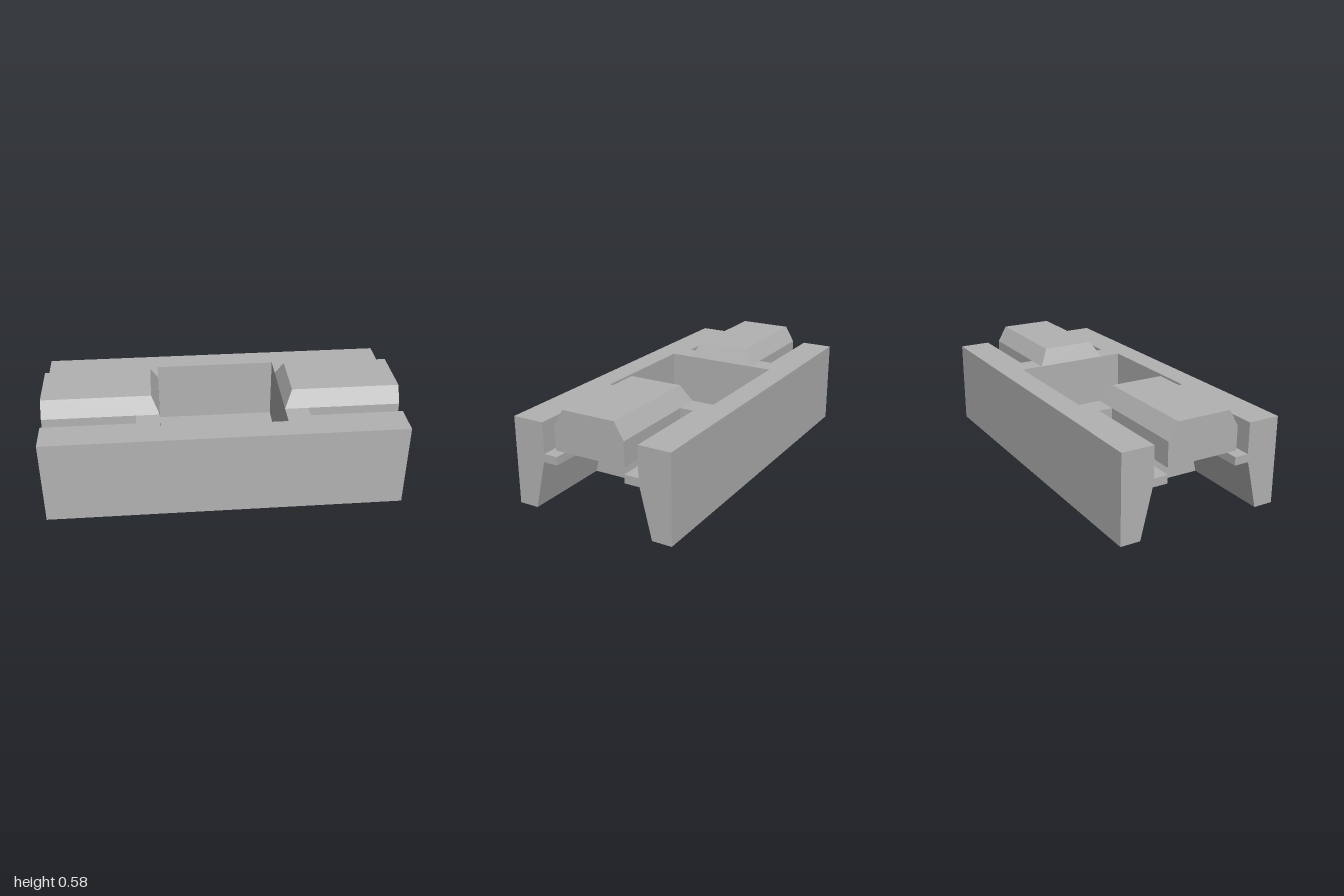
import * as THREE from 'three';
import { toCreasedNormals } from 'three/addons/utils/BufferGeometryUtils.js';
import { ConvexGeometry } from 'three/addons/geometries/ConvexGeometry.js';

const HALF_L = 1, HALF_W = 0.467, TOP = 0.49;   // overall body
const CORE_X = 0.48;                            // solid middle block
const POCKET_X = 0.35, POCKET_Z = 0.333, FLOOR = 0.13;

export function createModel() {
  const model = new THREE.Group();
  model.name = 'clampBlock';
  const grey = new THREE.MeshStandardMaterial({ color: 0xb2b2b2 });
  grey.name = 'plain grey';

  const add = (parent, name, geometry) => {
    const mesh = new THREE.Mesh(geometry, grey);
    mesh.name = name;
    parent.add(mesh);
    return mesh;
  };
  const rect = (Type, hx, hy) => new Type([[-hx, -hy], [hx, -hy], [hx, hy], [-hx, hy]]
    .map(([x, y]) => new THREE.Vector2(x, y)));

  // Horizontal slab with an opening, between two heights
  const slab = (hole, y0, y1) => {
    const shape = rect(THREE.Shape, CORE_X, HALF_W);
    shape.holes.push(hole);
    const g = new THREE.ExtrudeGeometry(shape, { depth: y1 - y0, bevelEnabled: false, curveSegments: 32 });
    g.rotateX(-Math.PI / 2).translate(0, y0, 0);
    return toCreasedNormals(g, 0.5);
  };

  // Middle block: floor with a round hole, pocket walls above it
  add(model, 'pocketFloor', slab(new THREE.Path().absarc(0, 0, 0.147, 0, Math.PI * 2, true), 0, FLOOR));
  add(model, 'pocketWalls', slab(rect(THREE.Path, POCKET_X, POCKET_Z), FLOOR, TOP));

  // Side wall section: flared foot, inward ledge, slot above the ledge
  const wallProfile = [[HALF_W, 0], [HALF_W, TOP], [0.285, TOP], [0.285, 0.318],
    [0.205, 0.318], [0.205, 0.272], [0.29, 0.272], [0.355, 0]];

  const buildEnd = (name) => {
    const end = new THREE.Group();
    end.name = name;
    for (const side of [-1, 1]) {
      const shape = new THREE.Shape(wallProfile.map(([z, y]) => new THREE.Vector2(-side * z, y)));
      const g = new THREE.ExtrudeGeometry(shape, { depth: HALF_L - CORE_X, bevelEnabled: false });
      g.rotateY(Math.PI / 2).translate(CORE_X, 0, 0);
      add(end, side > 0 ? 'frontWall' : 'backWall', g);
    }
    // Tongue between the walls, with a chamfered rail on top
    const tongue = new THREE.BoxGeometry(HALF_L - CORE_X, TOP - 0.355, 0.414);
    add(end, 'tongue', tongue).position.set((HALF_L + CORE_X) / 2, (TOP + 0.355) / 2, 0);
    const corners = [];
    for (const [x, y, z] of [[POCKET_X, TOP, 0.207], [HALF_L, TOP, 0.207], [0.393, 0.582, 0.153], [HALF_L, 0.582, 0.153]]) {
      corners.push(new THREE.Vector3(x, y, z), new THREE.Vector3(x, y, -z));
    }
    add(end, 'rail', new ConvexGeometry(corners));
    return end;
  };

  const rightEnd = buildEnd('rightEnd');
  rightEnd.rotation.y = Math.PI;
  model.add(buildEnd('leftEnd'), rightEnd);
  return model;
}
